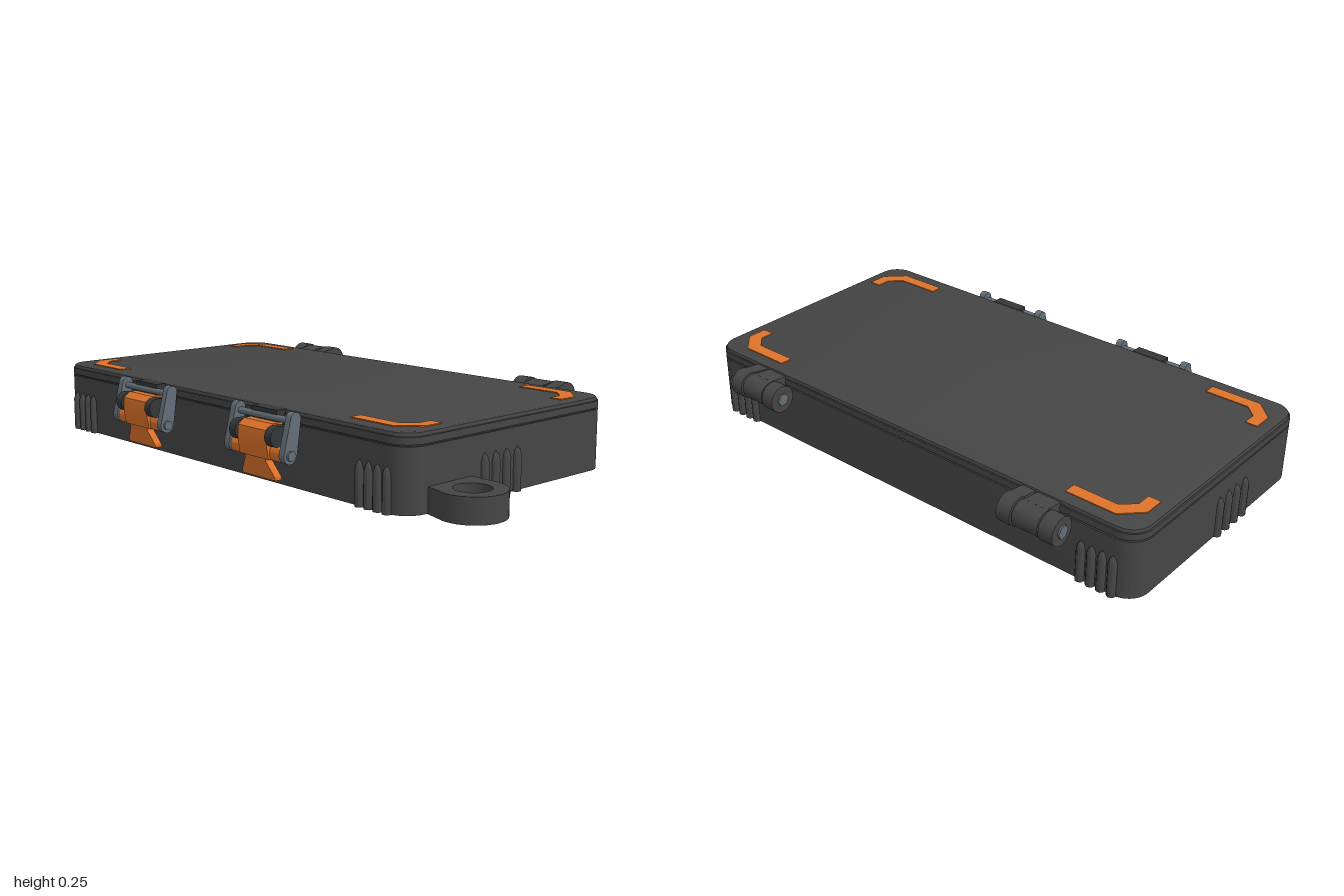
import * as THREE from 'three';
import { toCreasedNormals } from 'three/addons/utils/BufferGeometryUtils.js';

const mat = (name, color) => Object.assign(new THREE.MeshStandardMaterial({ color }), { name });
const shell = mat('charcoal shell', 0x454545);
const rubber = mat('dark rubber', 0x343638);
const orange = mat('orange', 0xdd722a);
const steel = mat('steel grey', 0x636e77);

const CX = -0.09, CZ = 0.016, HX = 0.893, HZ = 0.461; // case centre and half sizes

function add(parent, name, geo, material, x = 0, y = 0, z = 0) {
  const m = new THREE.Mesh(geo, material);
  m.name = name;
  m.position.set(x, y, z);
  parent.add(m);
  return m;
}

// Rounded rectangle, shape y becomes -z when laid flat
function roundRect(hx, hz, r) {
  const s = new THREE.Shape();
  s.absarc(hx - r, hz - r, r, 0, Math.PI / 2);
  s.absarc(-hx + r, hz - r, r, Math.PI / 2, Math.PI);
  s.absarc(-hx + r, -hz + r, r, Math.PI, Math.PI * 1.5);
  s.absarc(hx - r, -hz + r, r, Math.PI * 1.5, Math.PI * 2);
  s.closePath();
  return s;
}

// Lay a shape flat and raise it from y = 0
function slab(shape, h, bevel = 0) {
  const g = new THREE.ExtrudeGeometry(shape, {
    depth: h - 2 * bevel, curveSegments: 10, bevelEnabled: bevel > 0,
    bevelSize: bevel, bevelThickness: bevel, bevelOffset: -bevel, bevelSegments: 2,
  });
  g.translate(0, 0, bevel).rotateX(-Math.PI / 2);
  return toCreasedNormals(g, 0.6);
}

// Extrude a (z, y) profile along x, centred on x = 0
function sideProfile(shape, width) {
  const g = new THREE.ExtrudeGeometry(shape, { depth: width, bevelEnabled: false, curveSegments: 12 });
  g.translate(0, 0, -width / 2).rotateY(-Math.PI / 2);
  return toCreasedNormals(g, 0.6);
}

// Rounded bar between two (z, y) points
function stadium([az, ay], [bz, by], ra, rb = ra) {
  const a = Math.atan2(by - ay, bz - az), s = new THREE.Shape();
  s.absarc(bz, by, rb, a - Math.PI / 2, a + Math.PI / 2);
  s.absarc(az, ay, ra, a + Math.PI / 2, a + Math.PI * 1.5);
  s.closePath();
  return s;
}

const poly = (pts) => new THREE.Shape(pts.map(([x, y]) => new THREE.Vector2(x, y)));
const rod = (r, len, sides = 20) => new THREE.CylinderGeometry(r, r, len, sides).rotateZ(Math.PI / 2);

function buildCase(g) {
  add(g, 'base', slab(roundRect(HX, HZ, 0.075), 0.197), shell, CX, 0.003, CZ);
  add(g, 'seal', slab(roundRect(HX - 0.006, HZ - 0.006, 0.07), 0.007), rubber, CX, 0.199, CZ);
  add(g, 'lidRim', slab(roundRect(HX, HZ, 0.075), 0.022), shell, CX, 0.205, CZ);
  add(g, 'lidTop', slab(roundRect(HX - 0.005, HZ - 0.005, 0.07), 0.024, 0.008), shell, CX, 0.216, CZ);

  // Angled orange corner marks on the lid and the underside
  for (const sx of [-1, 1]) for (const sz of [-1, 1]) {
    const pts = [[0.847, 0.275], [0.847, 0.345], [0.783, 0.409], [0.606, 0.409],
      [0.606, 0.366], [0.762, 0.366], [0.804, 0.325], [0.804, 0.275]].map(([x, z]) => [sx * x, sz * z]);
    const mark = slab(poly(pts), 0.005);
    add(g, 'lidCornerMark', mark, orange, CX, 0.238, CZ - 0.003);
    add(g, 'bottomCornerMark', mark, orange, CX, 0, CZ - 0.003);
  }
}

// Upright grip ribs with pointed tops
function buildRibs(g) {
  const rib = new THREE.LatheGeometry(
    [[0, 0], [0.015, 0], [0.015, 0.112], [0.01, 0.128], [0, 0.14]].map((p) => new THREE.Vector2(...p)), 12);
  const ribGeo = toCreasedNormals(rib, 0.5);
  for (const s of [-1, 1]) for (let i = 0; i < 4; i++) {
    add(g, 'endRib', ribGeo, shell, CX + s * HX, 0.002, 0.006 + i * 0.049);
    for (const t of [-1, 1])
      add(g, 'wallRib', ribGeo, shell, CX + t * (0.705 + i * 0.037), 0.002, CZ + s * HZ);
  }
}

// Lanyard eye beside the front corner
function buildEye(g) {
  const cx = 0.896, cz = 0.31, r = 0.103;
  const s = new THREE.Shape();
  s.moveTo(0.78, -0.385);
  s.lineTo(cx - 0.02, -cz - r + 0.002);
  s.absarc(cx, -cz, r, -Math.PI / 2 - 0.2, Math.PI / 2);
  s.lineTo(0.78, -cz + r);
  s.closePath();
  s.holes.push(new THREE.Path().absarc(cx, -cz, 0.057, 0, Math.PI * 2, true));
  add(g, 'lanyardEye', slab(s, 0.08), shell, 0, 0.001, 0);
}

function buildHinge(x) {
  const h = new THREE.Group();
  h.name = 'hinge';
  h.position.set(x, 0, 0);
  const y = 0.2, z = -0.515;
  add(h, 'outerKnuckle', rod(0.047, 0.05, 28), shell, -0.075, y, z);
  add(h, 'outerKnuckle', rod(0.047, 0.05, 28), shell, 0.078, y, z);
  add(h, 'middleKnuckle', rod(0.043, 0.092, 28), shell, 0.003, y, z);
  add(h, 'pin', rod(0.022, 0.208, 6), steel, -0.002, y, z);
  // Arms running into the case
  const arm = poly([[-0.43, 0.232], [-0.505, 0.242], [-0.515, 0.158], [-0.43, 0.172]]);
  add(h, 'lidArm', sideProfile(arm, 0.084), shell, 0.003, 0, 0);
  add(h, 'baseArm', sideProfile(arm, 0.05), shell, 0.078, 0, 0);
  return h;
}

function buildLatch(x) {
  const l = new THREE.Group();
  l.name = 'latch';
  l.position.set(x, 0, 0);
  // Steel bail: two side links joined by a top bar
  for (const s of [-1, 1]) {
    add(l, 'sideLink', sideProfile(stadium([0.525, 0.115], [0.503, 0.225], 0.026, 0.02), 0.024), steel, s * 0.132, 0, 0);
    add(l, 'pivotCap', rod(0.016, 0.012, 12), steel, s * 0.146, 0.115, 0.525);
    add(l, 'bracketEar', sideProfile(stadium([0.475, 0.165], [0.532, 0.167], 0.03, 0.033), 0.03), rubber, s * 0.085, 0, 0);
  }
  add(l, 'topBar', rod(0.011, 0.25, 12), steel, 0, 0.216, 0.503);
  add(l, 'lidHook', new THREE.BoxGeometry(0.12, 0.036, 0.04), rubber, 0, 0.222, 0.487);
  add(l, 'bracketPlate', new THREE.BoxGeometry(0.2, 0.075, 0.02), rubber, 0, 0.167, 0.483);
  add(l, 'bracketPin', rod(0.02, 0.19, 16), rubber, 0, 0.167, 0.53);
  // Orange lever with a flared pull tab
  const body = poly([[0.485, 0.203], [0.53, 0.203], [0.553, 0.185], [0.556, 0.14], [0.548, 0.095], [0.505, 0.095]]);
  add(l, 'leverBody', sideProfile(body, 0.138), orange);
  add(l, 'leverCrossbar', sideProfile(stadium([0.525, 0.12], [0.525, 0.108], 0.019), 0.238), orange);
  const tab = new THREE.ExtrudeGeometry(
    poly([[-0.05, 0.1], [-0.05, 0.085], [-0.078, 0.04], [-0.078, 0.028], [0.078, 0.028], [0.078, 0.04], [0.05, 0.085], [0.05, 0.1]]),
    { depth: 0.026, bevelEnabled: false });
  // Lean the tab in toward the wall at its lower end
  const p = tab.attributes.position;
  for (let i = 0; i < p.count; i++) p.setZ(i, p.getZ(i) + 0.504 + (p.getY(i) - 0.028) * 0.22);
  tab.computeVertexNormals();
  add(l, 'pullTab', tab, orange);
  return l;
}

export function createModel() {
  const g = new THREE.Group();
  g.name = 'hardCase';
  buildCase(g);
  buildRibs(g);
  buildEye(g);
  for (const x of [-0.675, 0.485]) g.add(buildHinge(x));
  for (const x of [-0.407, 0.224]) g.add(buildLatch(x));
  return g;
}
